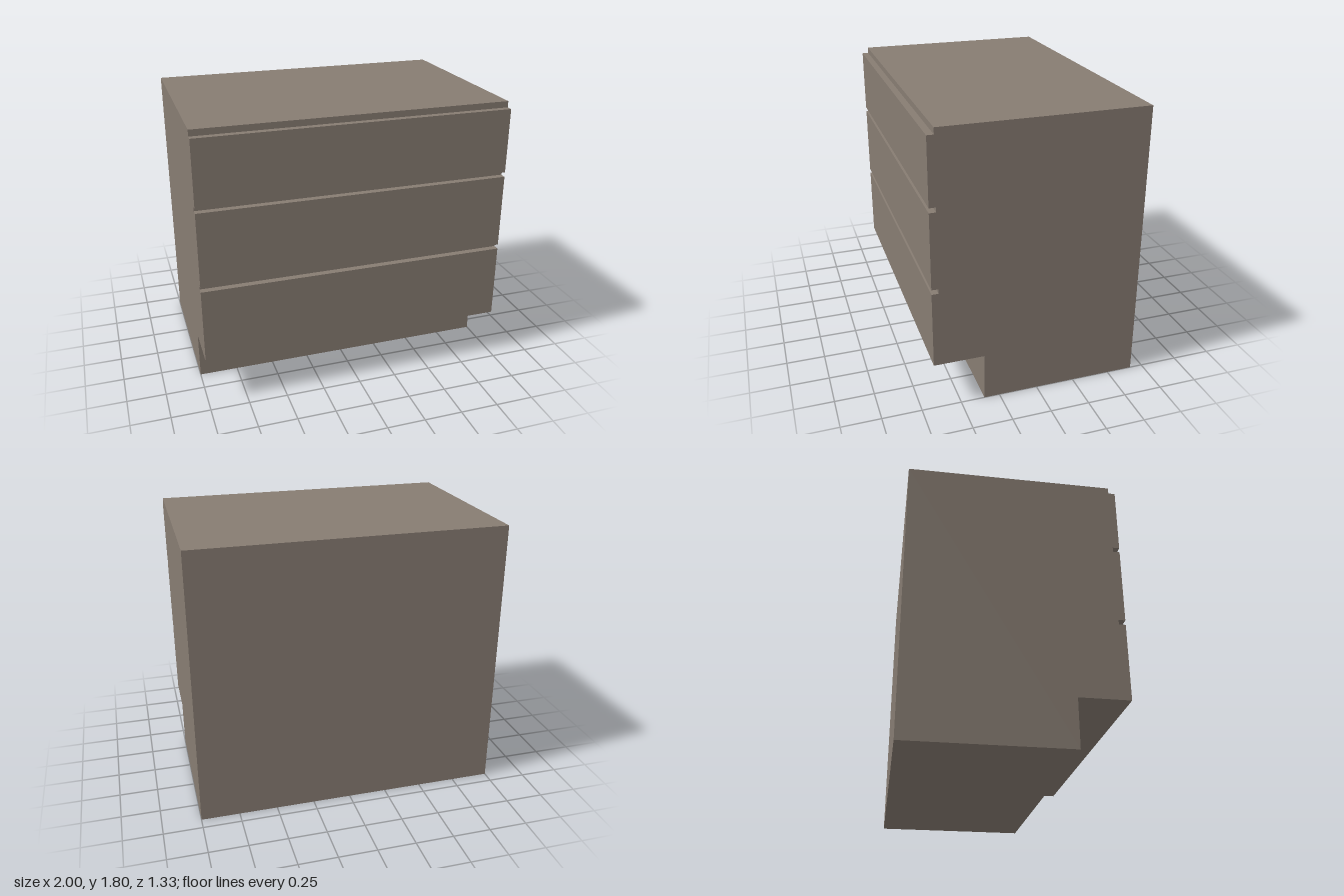
import * as THREE from 'three';

const WIDTH = 2;
const BACK = -0.667, CARCASS_FRONT = 0.625, DRAWER_FRONT = 0.667, KICK_FRONT = 0.35;
const KICK_HEIGHT = 0.31, HEIGHT = 1.805;

export function createModel() {
  const group = new THREE.Group();
  group.name = 'drawerCabinet';
  const material = new THREE.MeshStandardMaterial({ color: 0x877c72 });

  // Carcass: side profile with a recessed toe kick, extruded across the width
  const profile = [
    [BACK, 0], [KICK_FRONT, 0], [KICK_FRONT, KICK_HEIGHT],
    [CARCASS_FRONT, KICK_HEIGHT], [CARCASS_FRONT, HEIGHT], [BACK, HEIGHT],
  ];
  const shape = new THREE.Shape(profile.map(([z, y]) => new THREE.Vector2(-z, y)));
  const carcassGeometry = new THREE.ExtrudeGeometry(shape, { depth: WIDTH, bevelEnabled: false });
  carcassGeometry.translate(0, 0, -WIDTH / 2).rotateY(Math.PI / 2);
  const carcass = new THREE.Mesh(carcassGeometry, material);
  carcass.name = 'carcass';
  group.add(carcass);

  // Drawer fronts, separated by narrow finger gaps
  const drawers = [
    ['bottomDrawerFront', KICK_HEIGHT, 0.8],
    ['middleDrawerFront', 0.83, 1.315],
    ['topDrawerFront', 1.345, 1.765],
  ];
  const thickness = DRAWER_FRONT - CARCASS_FRONT;
  for (const [name, bottom, top] of drawers) {
    const drawer = new THREE.Mesh(new THREE.BoxGeometry(WIDTH, top - bottom, thickness), material);
    drawer.position.set(0, (bottom + top) / 2, CARCASS_FRONT + thickness / 2);
    drawer.name = name;
    group.add(drawer);
  }

  return group;
}
